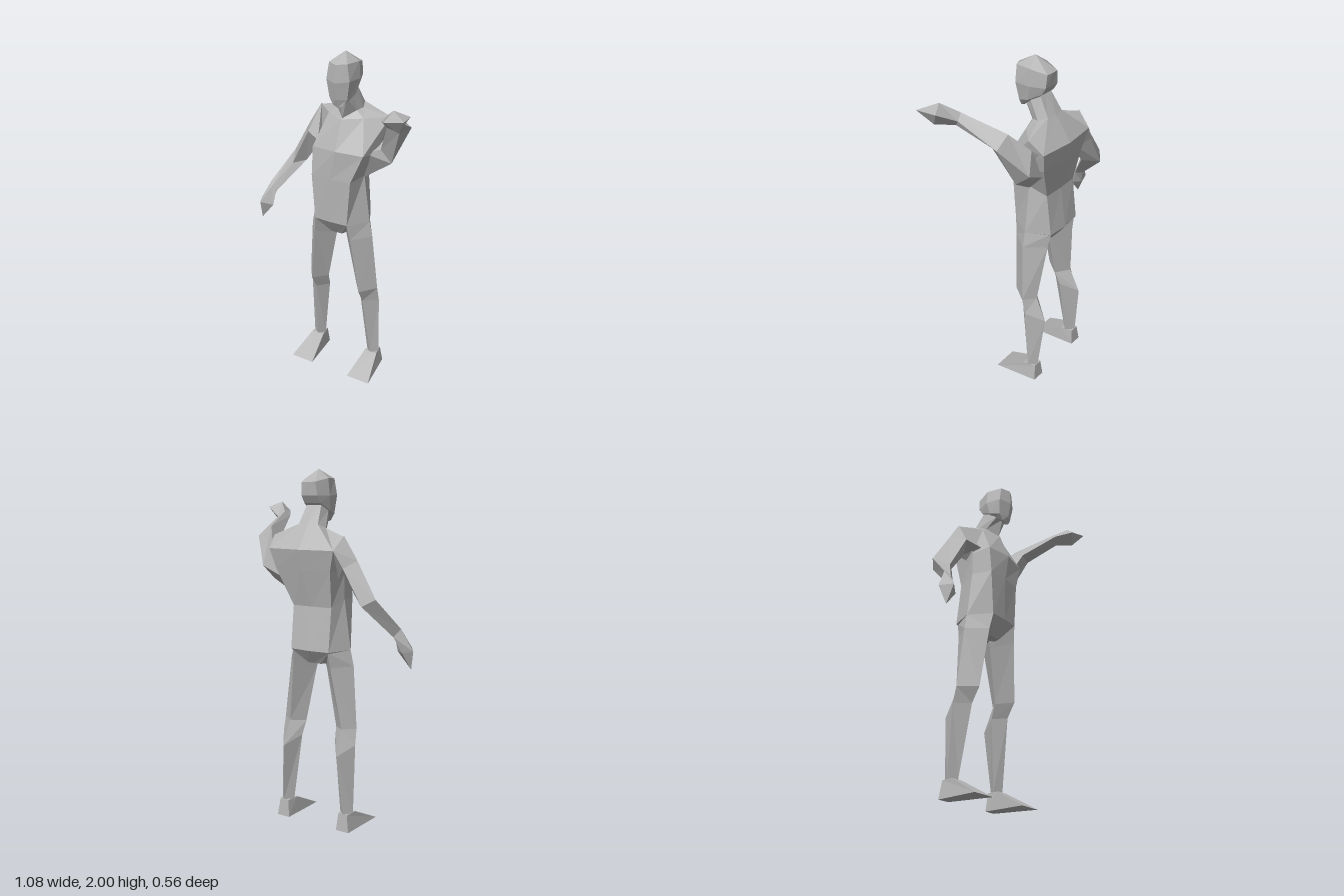
import * as THREE from 'three';

const grey = new THREE.MeshStandardMaterial({ color: 0xb4b4b4, flatShading: true });
grey.name = 'plain grey';

// Skin equal-length rings of [x, y, z] points; ends close on a centroid or a given tip.
function loft(name, rings, tip) {
  const n = rings[0].length;
  const centre = (r) => [0, 1, 2].map((k) => r.reduce((s, p) => s + p[k], 0) / n);
  const last = rings[rings.length - 1];
  const tris = [];
  const start = centre(rings[0]);
  const end = tip || centre(last);
  for (let i = 0; i < n; i++) {
    const j = (i + 1) % n;
    tris.push([start, rings[0][j], rings[0][i]], [end, last[i], last[j]]);
    for (let k = 0; k + 1 < rings.length; k++) {
      const a = rings[k], b = rings[k + 1];
      tris.push([a[i], a[j], b[j]], [a[i], b[j], b[i]]);
    }
  }
  // Face outward: a negative enclosed volume means the winding is reversed
  const v = (p) => new THREE.Vector3(...p);
  const volume = tris.reduce((s, [a, b, c]) => s + v(a).dot(v(b).cross(v(c))), 0);
  if (volume < 0) tris.forEach((t) => t.reverse());
  const geometry = new THREE.BufferGeometry();
  geometry.setAttribute('position', new THREE.Float32BufferAttribute(tris.flat(2), 3));
  geometry.computeVertexNormals();
  const mesh = new THREE.Mesh(geometry, grey);
  mesh.name = name;
  return mesh;
}

// Eight-point ring, mirrored about cx: front centre, front, side, back, back centre
function ring(cx, frontCentre, front, side, back, backCentre) {
  const left = [front, side, back];
  const right = [...left].reverse().map(([x, y, z]) => [-x, y, z]);
  return [[0, ...frontCentre], ...left, [0, ...backCentre], ...right]
    .map(([x, y, z]) => [cx + x, y, z]);
}

export function createModel() {
  const model = new THREE.Group();
  model.name = 'standingFigure';

  // Torso, from pelvis up to the collar
  const collar = ring(0.02, [1.64, -0.04], [0.06, 1.68, -0.09], [0.08, 1.69, -0.13], [0.06, 1.71, -0.18], [1.71, -0.185]);
  model.add(loft('torso', [
    ring(-0.015, [0.94, -0.04], [0.035, 0.94, -0.04], [0.06, 0.94, -0.1], [0.04, 0.95, -0.18], [0.95, -0.18]),
    ring(-0.015, [1.035, 0.03], [0.105, 1.035, 0.025], [0.185, 1.03, -0.1], [0.12, 1.03, -0.23], [1.03, -0.24]),
    ring(-0.015, [1.3, 0.035], [0.125, 1.3, 0.025], [0.145, 1.31, -0.1], [0.12, 1.27, -0.2], [1.27, -0.205]),
    ring(0.02, [1.47, 0.035], [0.16, 1.465, 0.01], [0.18, 1.45, -0.1], [0.17, 1.47, -0.24], [1.47, -0.255]),
    ring(0.02, [1.635, -0.03], [0.11, 1.645, -0.08], [0.22, 1.648, -0.18], [0.2, 1.58, -0.26], [1.58, -0.28]),
    collar,
  ]));

  // Neck leans forward into the skull
  model.add(loft('neck', [
    collar,
    ring(0.02, [1.75, -0.01], [0.04, 1.76, -0.02], [0.06, 1.78, -0.07], [0.045, 1.81, -0.12], [1.81, -0.12]),
  ]));

  // Faceted head with a central ridge and a peaked crown
  model.add(loft('head', [
    ring(0.022, [1.712, 0.015], [0.03, 1.725, 0.01], [0.05, 1.765, -0.06], [0.04, 1.79, -0.1], [1.79, -0.1]),
    ring(0.022, [1.76, 0.033], [0.055, 1.76, 0.005], [0.068, 1.78, -0.06], [0.05, 1.82, -0.135], [1.82, -0.135]),
    ring(0.025, [1.85, 0.05], [0.07, 1.86, 0.015], [0.08, 1.86, -0.08], [0.05, 1.86, -0.16], [1.86, -0.16]),
    ring(0.027, [1.945, 0.042], [0.055, 1.95, 0.015], [0.072, 1.95, -0.08], [0.042, 1.93, -0.165], [1.93, -0.167]),
  ], [0.027, 2, -0.06]));

  // Lowered right arm: each ring is outer, front, inner, back
  model.add(loft('rightArm', [
    [[-0.2, 1.655, -0.18], [-0.145, 1.48, -0.05], [-0.15, 1.42, -0.15], [-0.18, 1.58, -0.26]],
    [[-0.28, 1.53, -0.18], [-0.235, 1.505, -0.09], [-0.175, 1.455, -0.15], [-0.23, 1.49, -0.245]],
    [[-0.4, 1.335, -0.2], [-0.36, 1.28, -0.105], [-0.29, 1.3, -0.15], [-0.34, 1.3, -0.245]],
    [[-0.475, 1.165, -0.045], [-0.46, 1.13, -0.01], [-0.43, 1.11, -0.02], [-0.44, 1.12, -0.065]],
  ]));
  model.add(loft('rightHand', [
    [[-0.475, 1.165, -0.045], [-0.46, 1.13, -0.01], [-0.43, 1.11, -0.02], [-0.44, 1.12, -0.065]],
    [[-0.54, 1.045, -0.025], [-0.5, 1.05, 0.047], [-0.435, 1.03, 0.005], [-0.48, 1.03, -0.035]],
  ], [-0.515, 0.935, 0.01]));

  // Raised left arm: each ring is inner, lower, outer, upper
  model.add(loft('leftArm', [
    [[0.17, 1.47, -0.03], [0.13, 1.3, -0.1], [0.16, 1.42, -0.22], [0.21, 1.57, -0.255]],
    [[0.225, 1.48, -0.105], [0.28, 1.4, -0.13], [0.29, 1.48, -0.225], [0.24, 1.6, -0.2]],
    [[0.29, 1.635, -0.04], [0.36, 1.615, -0.05], [0.4, 1.635, -0.11], [0.31, 1.69, -0.11]],
    [[0.365, 1.74, 0.165], [0.41, 1.705, 0.14], [0.42, 1.735, 0.115], [0.38, 1.765, 0.13]],
  ]));
  model.add(loft('leftHand', [
    [[0.365, 1.74, 0.165], [0.41, 1.705, 0.14], [0.42, 1.735, 0.115], [0.38, 1.765, 0.13]],
    [[0.425, 1.77, 0.255], [0.485, 1.715, 0.215], [0.52, 1.79, 0.165], [0.45, 1.82, 0.205]],
  ], [0.54, 1.795, 0.275]));

  // Legs and feet, mirrored about the pelvis centre
  for (const [label, s] of [['left', 1], ['right', -1]]) {
    const place = (rings) => rings.map((r) => r.map(([x, y, z]) => [-0.015 + s * x, y, z]));
    // Rings are outer, front, inner, back
    model.add(loft(label + 'Leg', place([
      [[0.185, 1.03, -0.1], [0.105, 1.035, 0.025], [0.025, 0.94, -0.1], [0.11, 1.03, -0.225]],
      [[0.205, 0.94, -0.1], [0.12, 0.94, 0.01], [0.035, 0.9, -0.1], [0.12, 0.94, -0.21]],
      [[0.237, 0.59, -0.12], [0.165, 0.59, -0.02], [0.1, 0.58, -0.11], [0.17, 0.59, -0.175]],
      [[0.24, 0.5, -0.14], [0.165, 0.505, -0.068], [0.11, 0.5, -0.14], [0.175, 0.45, -0.24]],
      [[0.24, 0.1, -0.16], [0.195, 0.1, -0.125], [0.157, 0.1, -0.16], [0.2, 0.1, -0.207]],
    ])));
    // Wedge foot with a splayed toe edge
    model.add(loft(label + 'Foot', place([
      [[0.24, 0.1, -0.13], [0.157, 0.1, -0.13], [0.17, 0.1, -0.205], [0.225, 0.1, -0.205]],
      [[0.28, 0, 0.048], [0.13, 0, 0.048], [0.16, 0, -0.215], [0.24, 0, -0.215]],
    ])));
  }
  return model;
}
